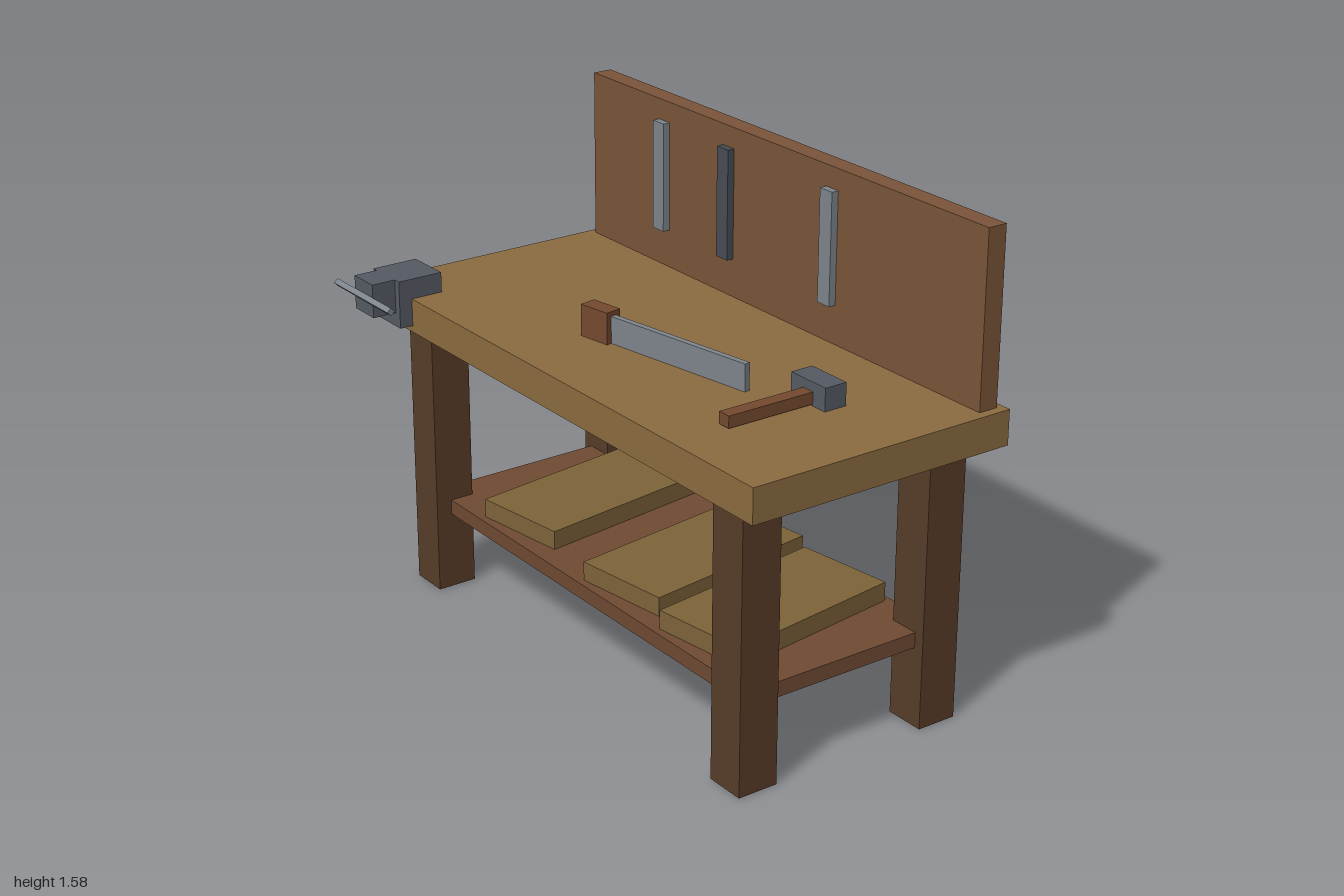
import * as THREE from 'three';

const COLORS = {
  top: 0x8b6b40, leg: 0x573c29, shelf: 0x6f4a33, panel: 0x7a5439,
  plank: 0x7d6339, grip: 0x74492f, steel: 0x7d848b, iron: 0x555a63, darkIron: 0x484c53,
};

const material = (color) => new THREE.MeshStandardMaterial({ color: COLORS[color], flatShading: true });

export function createModel() {
  const model = new THREE.Group();
  model.name = 'workbench';

  // Box between two corners
  function block(name, color, [x0, x1], [y0, y1], [z0, z1], parent = model) {
    const mesh = new THREE.Mesh(new THREE.BoxGeometry(x1 - x0, y1 - y0, z1 - z0), material(color));
    mesh.position.set((x0 + x1) / 2, (y0 + y1) / 2, (z0 + z1) / 2);
    mesh.name = name;
    parent.add(mesh);
    return mesh;
  }

  function group(name) {
    const g = new THREE.Group();
    g.name = name;
    model.add(g);
    return g;
  }

  // Bench frame
  block('tabletop', 'top', [-0.97, 1], [0.915, 1.027], [-0.53, 0.39]);
  block('backPanel', 'panel', [-0.945, 0.97], [1.027, 1.58], [-0.507, -0.442]);
  block('shelf', 'shelf', [-0.83, 0.855], [0.26, 0.31], [-0.42, 0.283]);
  for (const [side, x] of [['right', [-0.865, -0.733]], ['left', [0.755, 0.89]]]) {
    block(`${side}FrontLeg`, 'leg', x, [0, 0.9], [0.202, 0.337]);
    block(`${side}BackLeg`, 'leg', x, [0, 0.9], [-0.473, -0.338]);
  }

  // Loose planks on the shelf, all turned by the same angle
  for (const x of [-0.437, 0.123, 0.52]) {
    const plank = block('plank', 'plank', [-0.167, 0.167], [0.31, 0.372], [-0.31, 0.31]);
    plank.position.x = x;
    plank.position.z = -0.07;
    plank.rotation.y = 0.137;
  }

  // Tools hanging on the panel
  for (const [x, color] of [[-0.552, 'steel'], [-0.213, 'darkIron'], [0.292, 'steel']]) {
    block('hangingTool', color, [x - 0.028, x + 0.028], [1.152, 1.512], [-0.442, -0.418]);
  }

  // Vise with a four-sided turning bar
  const vise = group('vise');
  block('viseBody', 'iron', [-0.91, -0.755], [0.937, 1.093], [0.28, 0.435], vise);
  block('viseJaw', 'iron', [-0.89, -0.78], [0.983, 1.093], [0.435, 0.516], vise);
  const bar = new THREE.Mesh(new THREE.CylinderGeometry(0.013, 0.013, 0.333, 4), material('steel'));
  bar.name = 'viseBar';
  bar.rotation.z = Math.PI / 2;
  bar.position.set(-0.834, 1.038, 0.517);
  vise.add(bar);

  // Saw lying at an angle
  const saw = group('saw');
  saw.position.set(-0.134, 1.027, 0.098);
  saw.rotation.y = 0.173;
  block('sawHandle', 'grip', [-0.056, 0.056], [0, 0.102], [-0.028, 0.028], saw);
  block('sawBlade', 'steel', [0.04, 0.602], [0, 0.087], [-0.01, 0.01], saw);

  // Mallet
  const mallet = group('mallet');
  block('malletHead', 'iron', [0.555, 0.71], [1.027, 1.1], [-0.167, -0.09], mallet);
  block('malletHandle', 'grip', [0.61, 0.655], [1.032, 1.07], [-0.09, 0.21], mallet);

  return model;
}
